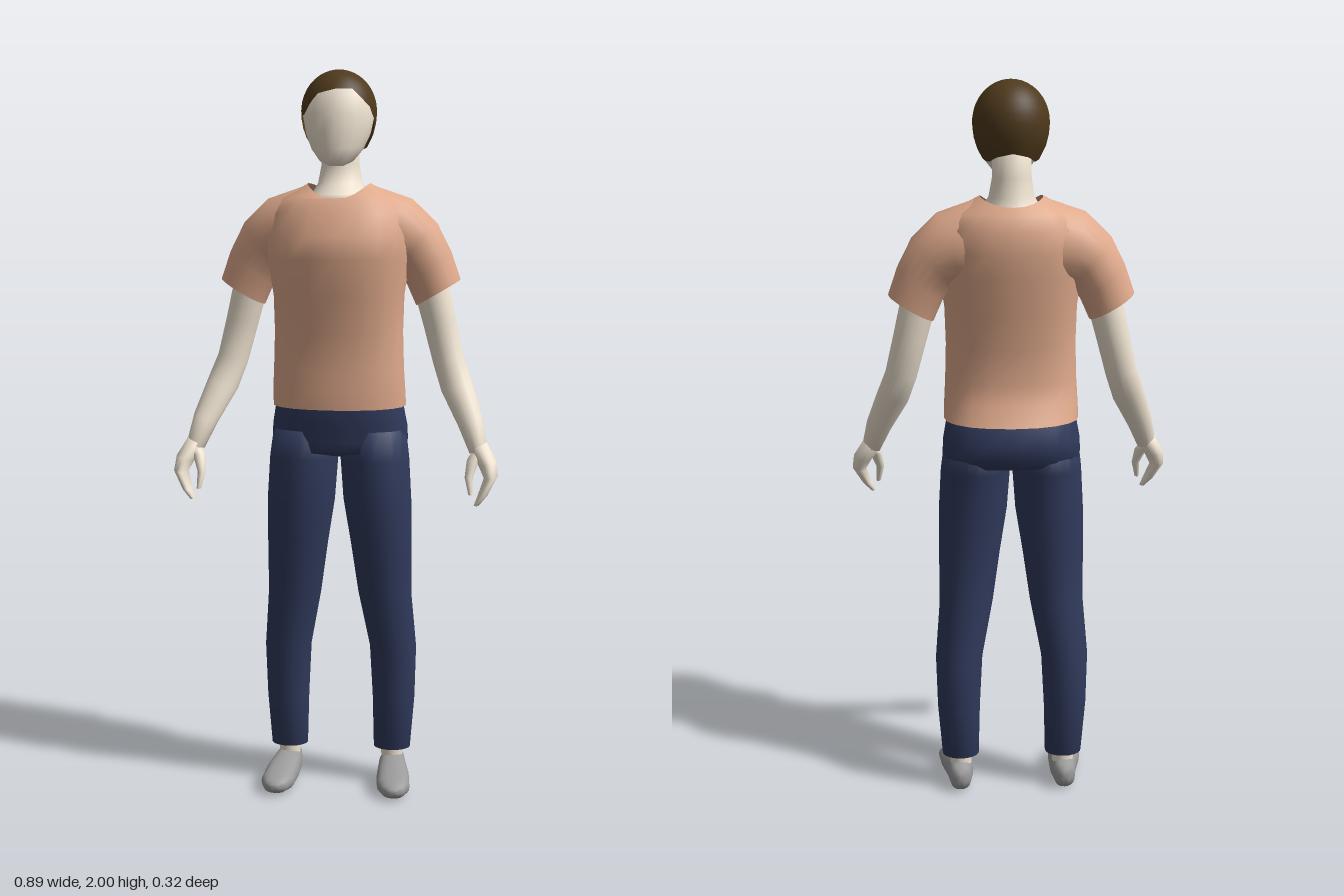
import * as THREE from 'three';

const SEG = 20;
const mat = (color, side = THREE.FrontSide) => new THREE.MeshStandardMaterial({ color, side });
const skin = mat(0xf0e4d2);
const shirt = mat(0xe0aa8c, THREE.DoubleSide);
const denim = mat(0x303a5c);
const hairMat = mat(0x4f3a1c, THREE.DoubleSide);
const shoeMat = mat(0x9c9c9c);

// Skin over a stack of rings [x, y, z, a, b, tilt]: a is the half width, b the half depth,
// tilt turns the ring about z. Rings run upwards.
function loft(rings, { caps = true, n = 2 } = {}) {
  const pos = [], idx = [];
  const pw = (v) => Math.sign(v) * Math.abs(v) ** (2 / n);
  for (const [x, y, z, a, b, t = 0] of rings) {
    for (let j = 0; j < SEG; j++) {
      const th = (j / SEG) * Math.PI * 2;
      const c = a * pw(Math.cos(th)), s = b * pw(Math.sin(th));
      pos.push(x + c * Math.cos(t), y + c * Math.sin(t), z + s);
    }
  }
  for (let i = 0; i < rings.length - 1; i++) {
    for (let j = 0; j < SEG; j++) {
      const p = i * SEG + j, q = i * SEG + ((j + 1) % SEG);
      idx.push(p, p + SEG, q, q, p + SEG, q + SEG);
    }
  }
  if (caps) {
    const last = (rings.length - 1) * SEG, c0 = pos.length / 3;
    pos.push(...rings[0].slice(0, 3), ...rings[rings.length - 1].slice(0, 3));
    for (let j = 0; j < SEG; j++) {
      const k = (j + 1) % SEG;
      idx.push(c0, j, k, c0 + 1, last + k, last + j);
    }
  }
  const g = new THREE.BufferGeometry();
  g.setAttribute('position', new THREE.Float32BufferAttribute(pos, 3));
  g.setIndex(idx);
  g.computeVertexNormals();
  return g;
}

// Mirror rings to the other side of the body
const mirror = (rings, s) => rings.map(([x, y, z, a, b, t = 0]) => [s * x, y, z, a, b, s * t]);

function hairGeometry() {
  // hairline height by angle from the front, in degrees
  const line = [[0, 1.945], [30, 1.94], [52, 1.9], [75, 1.87], [98, 1.795], [125, 1.79], [150, 1.805], [180, 1.815]];
  const hairline = (deg) => {
    const i = Math.max(1, line.findIndex(([d]) => d >= deg));
    const [d0, y0] = line[i - 1], [d1, y1] = line[i];
    return THREE.MathUtils.lerp(y0, y1, (deg - d0) / (d1 - d0));
  };
  const cols = 48, rows = 12, pos = [], idx = [];
  for (let i = 0; i <= rows; i++) {
    for (let j = 0; j < cols; j++) {
      const ang = (j / cols) * Math.PI * 2;
      const deg = THREE.MathUtils.radToDeg(Math.min(ang, Math.PI * 2 - ang));
      // side parting: one side of the fringe sits higher
      const end = hairline(deg) + (deg < 60 ? 0.012 * Math.sin(ang) : 0);
      const y = 2 - (2 - end) * (i / rows) ** 2;
      const k = y > 1.89 ? (y - 1.89) / 0.11 : (1.89 - y) / 0.14;
      const r = Math.sqrt(Math.max(0, 1 - k * k));
      pos.push(0.102 * r * Math.sin(ang), y, -0.004 + 0.103 * r * Math.cos(ang));
    }
  }
  for (let i = 0; i < rows; i++) {
    for (let j = 0; j < cols; j++) {
      const p = i * cols + j, q = i * cols + ((j + 1) % cols);
      if (i > 0) idx.push(p, p + cols, q);
      idx.push(q, p + cols, q + cols);
    }
  }
  const g = new THREE.BufferGeometry();
  g.setAttribute('position', new THREE.Float32BufferAttribute(pos, 3));
  g.setIndex(idx);
  g.computeVertexNormals();
  return g;
}

function torsoGeometry() {
  const g = loft([
    [0, 1.095, -0.015, 0.185, 0.134], [0, 1.15, 0, 0.183, 0.122], [0, 1.2, 0.005, 0.18, 0.113],
    [0, 1.3, 0.005, 0.177, 0.12], [0, 1.4, 0.005, 0.18, 0.14], [0, 1.5, 0.005, 0.195, 0.157],
    [0, 1.56, 0, 0.197, 0.16], [0, 1.62, -0.015, 0.19, 0.143], [0, 1.66, -0.012, 0.155, 0.125],
    [0, 1.7, -0.012, 0.085, 0.105],
  ], { caps: false, n: 2.2 });
  // neckline dips at the front and a little at the back
  const p = g.attributes.position, start = p.count - SEG;
  for (let i = start; i < p.count; i++) {
    const s = Math.sin(((i - start) / SEG) * Math.PI * 2);
    p.setY(i, p.getY(i) - (s > 0 ? 0.042 : 0.02) * s * s);
  }
  g.computeVertexNormals();
  return g;
}

const sleeve = [
  [0.27, 1.405, -0.03, 0.07, 0.064, 0.53], [0.245, 1.47, -0.03, 0.075, 0.07, 0.65],
  [0.21, 1.53, -0.03, 0.084, 0.08, 0.85], [0.16, 1.56, -0.025, 0.105, 0.1, 1.2],
  [0.09, 1.57, -0.02, 0.122, 0.11, 1.5],
];
const arm = [
  [0.388, 0.99, 0.073, 0.026, 0.032, 0.4], [0.365, 1.06, 0.045, 0.035, 0.036, 0.4],
  [0.325, 1.15, 0, 0.044, 0.041, 0.3], [0.3, 1.22, -0.025, 0.043, 0.041, 0.25],
  [0.275, 1.32, -0.033, 0.045, 0.045, 0.25], [0.25, 1.42, -0.033, 0.048, 0.05, 0.3],
  [0.225, 1.5, -0.03, 0.045, 0.05, 0.4],
];
const hand = [
  [0.387, 0.847, 0.13, 0.007, 0.012], [0.403, 0.873, 0.122, 0.013, 0.026],
  [0.424, 0.92, 0.104, 0.019, 0.037, 0.15], [0.414, 0.955, 0.09, 0.025, 0.037, 0.3],
  [0.386, 1.0, 0.07, 0.026, 0.032, 0.4],
];
const thumb = [
  [0.371, 0.875, 0.127, 0.006, 0.008], [0.365, 0.92, 0.115, 0.011, 0.012],
  [0.376, 0.965, 0.095, 0.017, 0.017], [0.392, 0.99, 0.08, 0.017, 0.018],
];
const leg = [
  [0.148, 0.1, -0.045, 0.052, 0.043], [0.152, 0.25, -0.047, 0.06, 0.058],
  [0.15, 0.4, -0.042, 0.066, 0.072], [0.128, 0.56, -0.02, 0.075, 0.068],
  [0.118, 0.7, -0.012, 0.085, 0.08], [0.107, 0.83, -0.006, 0.095, 0.092],
  [0.099, 0.95, -0.01, 0.096, 0.098], [0.095, 1.03, -0.02, 0.09, 0.1],
];
// The shoe runs heel to toe along its own y and is turned to lie along z
const shoe = [
  [0.15, -0.107, -0.043, 0.014, 0.022], [0.15, -0.093, -0.042, 0.03, 0.037],
  [0.15, -0.04, -0.043, 0.038, 0.043], [0.158, 0.03, -0.036, 0.046, 0.036],
  [0.164, 0.09, -0.028, 0.046, 0.027], [0.166, 0.122, -0.025, 0.032, 0.02],
  [0.166, 0.135, -0.025, 0.014, 0.01],
];

export function createModel() {
  const model = new THREE.Group();
  model.name = 'person';
  const add = (name, geometry, material) => {
    const m = new THREE.Mesh(geometry, material);
    m.name = name;
    model.add(m);
    return m;
  };

  // Head, hair and neck
  add('head', loft([
    [0, 1.745, 0.06, 0.018, 0.02], [0, 1.758, 0.052, 0.045, 0.047], [0, 1.79, 0.032, 0.07, 0.074],
    [0, 1.83, 0.014, 0.087, 0.092], [0, 1.88, 0.005, 0.097, 0.1], [0, 1.93, 0, 0.088, 0.09],
    [0, 1.97, 0, 0.058, 0.06], [0, 1.985, 0, 0.02, 0.02],
  ]), skin);
  add('hair', hairGeometry(), hairMat);
  add('neck', loft([
    [0, 1.64, -0.012, 0.1, 0.113], [0, 1.67, -0.014, 0.077, 0.092], [0, 1.7, -0.03, 0.061, 0.064],
    [0, 1.75, -0.036, 0.052, 0.048], [0, 1.83, -0.03, 0.052, 0.048],
  ]), skin);

  // Shirt body and trouser seat
  add('shirtBody', torsoGeometry(), shirt);
  add('trouserSeat', loft([
    [0, 0.955, -0.01, 0.11, 0.04], [0, 0.97, -0.015, 0.18, 0.1], [0, 1.0, -0.026, 0.19, 0.112],
    [0, 1.04, -0.024, 0.188, 0.117], [0, 1.095, -0.016, 0.178, 0.115], [0, 1.13, -0.005, 0.165, 0.1],
  ], { n: 2.3 }), denim);

  // Limbs on both sides
  for (const [side, s] of [['left', 1], ['right', -1]]) {
    add(side + 'Sleeve', loft(mirror(sleeve, s), { caps: false }), shirt);
    add(side + 'Arm', loft(mirror(arm, s)), skin);
    add(side + 'Hand', loft(mirror(hand, s)), skin);
    add(side + 'Thumb', loft(mirror(thumb, s)), skin);
    add(side + 'TrouserLeg', loft(mirror(leg, s)), denim);
    add(side + 'Ankle', new THREE.CylinderGeometry(0.032, 0.03, 0.09, 16), skin).position.set(s * 0.148, 0.1, -0.045);
    add(side + 'Shoe', loft(mirror(shoe, s), { n: 2.4 }).rotateX(Math.PI / 2), shoeMat);
  }
  return model;
}
